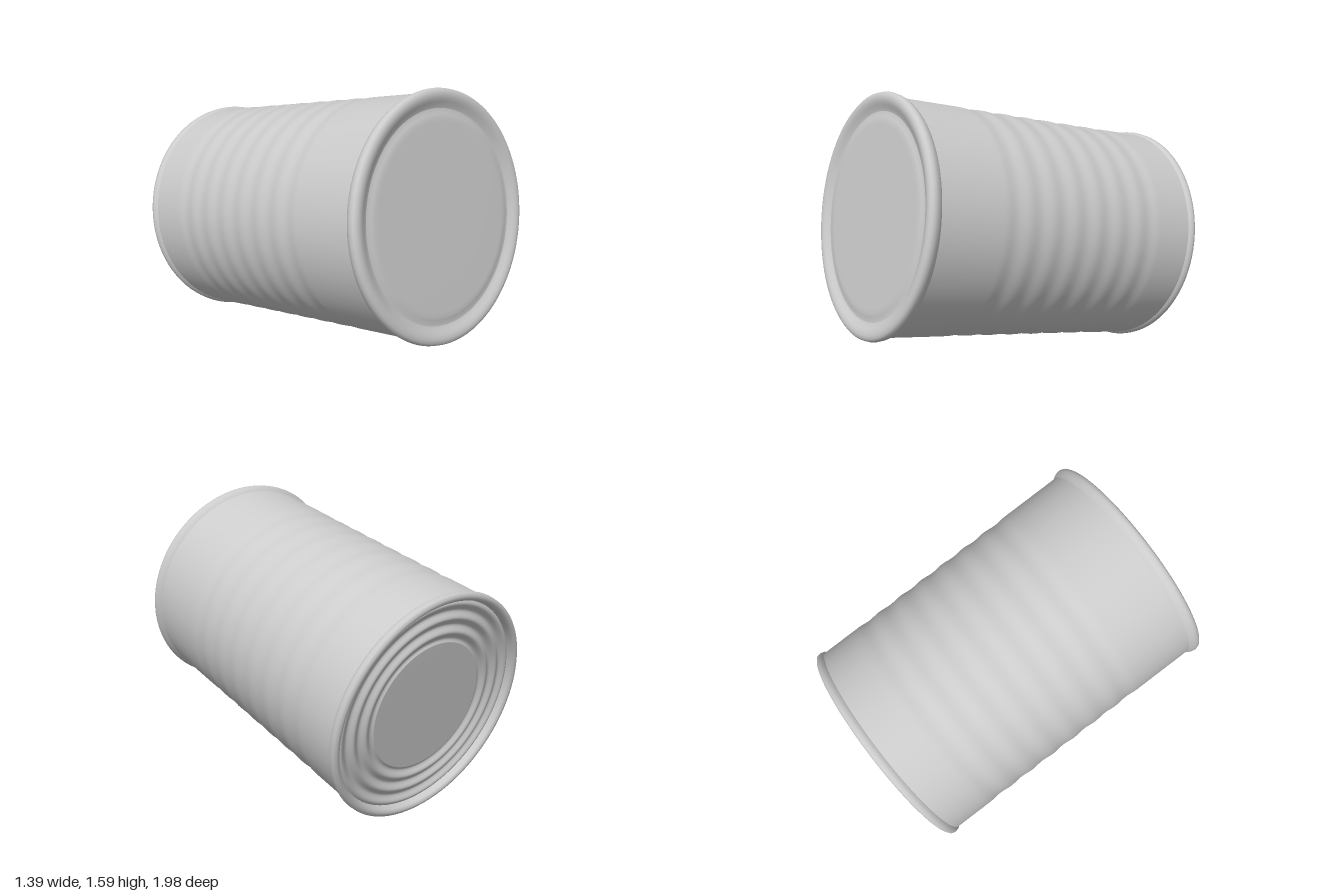
import * as THREE from 'three';

const HALF = 0.885; // half length of the can along its axis
const SEGMENTS = 96;

export function createModel() {
  const model = new THREE.Group();
  model.name = 'tinCan';
  const metal = new THREE.MeshStandardMaterial({ color: 0xcccccc, side: THREE.DoubleSide });

  // The can is modelled along y (front end at +y), then tilted as a whole
  const can = new THREE.Group();
  can.name = 'tiltedCan';
  const back = new THREE.Vector3(0.05, 0.635, -0.87);
  const front = new THREE.Vector3(-0.05, 0.97, 0.87);
  can.position.copy(back).add(front).multiplyScalar(0.5);
  can.quaternion.setFromUnitVectors(new THREE.Vector3(0, 1, 0), front.clone().sub(back).normalize());
  model.add(can);

  function lathe(name, pairs) {
    const points = pairs.map(([r, y]) => new THREE.Vector2(r, y));
    const mesh = new THREE.Mesh(new THREE.LatheGeometry(points, SEGMENTS), metal);
    mesh.name = name;
    can.add(mesh);
  }

  // Side wall with shallow ribs around the middle and rear
  const wall = [];
  const ribStart = -0.6, ribEnd = 0.45, ribs = 7;
  const steps = 112;
  for (let i = 0; i <= steps; i++) {
    const y = -0.835 + (1.655 * i) / steps;
    const t = (y - ribStart) / (ribEnd - ribStart);
    const bead = t > 0 && t < 1 ? 0.003 * (1 - Math.cos(t * ribs * Math.PI * 2)) : 0;
    wall.push([0.629 - bead, y]);
  }
  lathe('sideWall', wall);

  // Rear seam rim
  lathe('backRim', [
    [0.592, -0.845], [0.6, -0.873], [0.612, -0.884], [0.628, -0.884],
    [0.641, -0.874], [0.643, -0.858], [0.638, -0.843], [0.629, -0.833],
  ]);

  // Recessed rear lid with concentric rings
  const lid = [[0, -0.842]];
  for (let i = 0; i <= 60; i++) {
    const r = 0.36 + (0.232 * i) / 60;
    const ring = 0.009 * Math.sin(((r - 0.36) / 0.232) * Math.PI * 6);
    lid.push([r, -0.843 + ring]);
  }
  lathe('backLid', lid);

  // Rounded front rim
  lathe('frontRim', [
    [0.629, 0.815], [0.638, 0.825], [0.647, 0.842], [0.65, 0.858],
    [0.646, 0.873], [0.635, 0.882], [0.618, 0.885], [0.6, 0.882],
    [0.582, 0.874], [0.565, 0.864], [0.55, 0.859],
  ]);

  // Nearly flat front panel, slightly sunken with a faint raised step
  lathe('frontPanel', [
    [0.55, 0.859], [0.535, 0.86], [0.52, 0.864], [0.505, 0.867], [0.48, 0.868], [0.25, 0.868], [0, 0.868],
  ]);

  return model;
}
